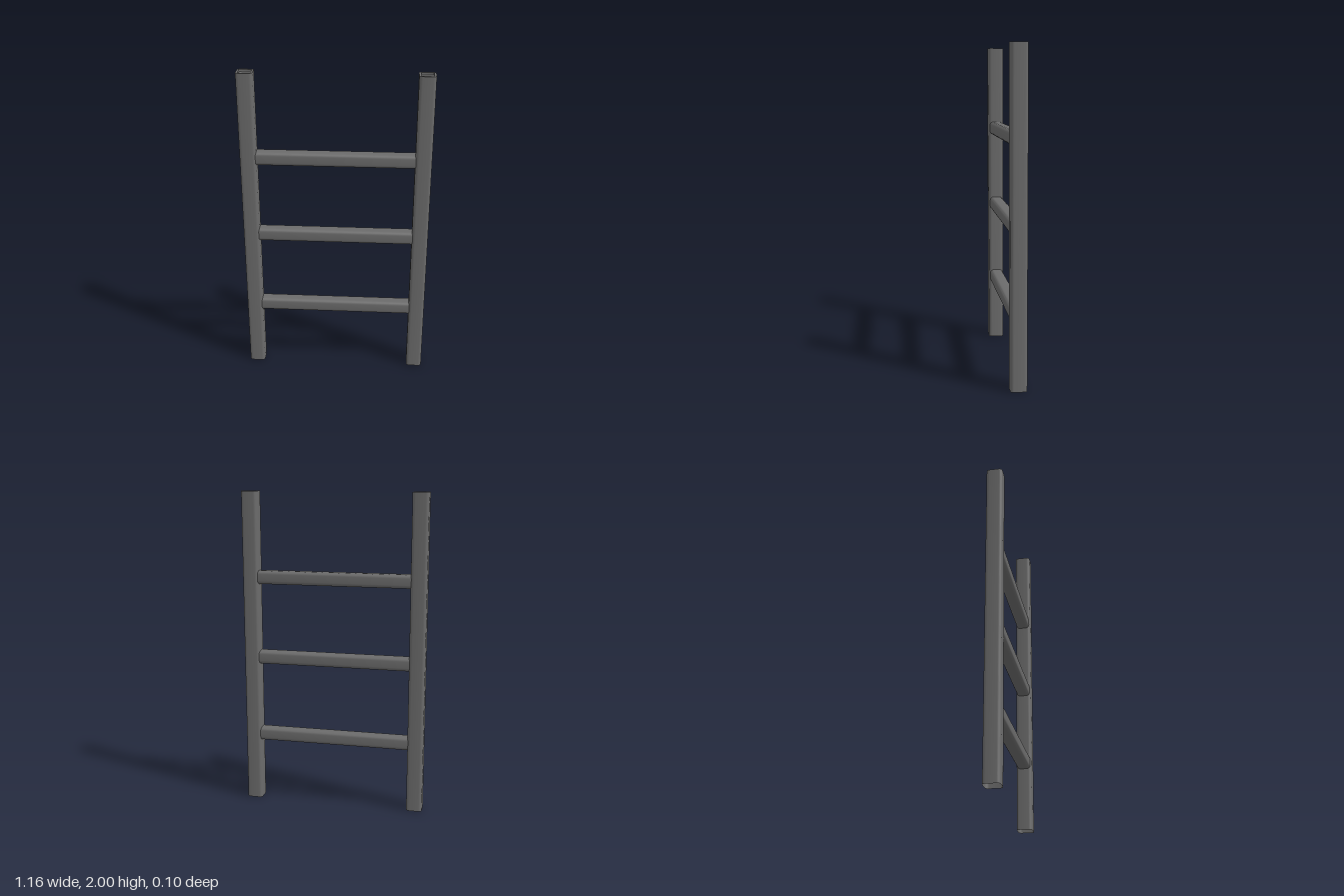
import * as THREE from 'three';
import { toCreasedNormals } from 'three/addons/utils/BufferGeometryUtils.js';

const material = new THREE.MeshStandardMaterial({ color: 0x6b6b6b, side: THREE.DoubleSide });

const ARC_STEPS = 5;

// Counter-clockwise points of a square with rounded corners
function roundedSquare(size, radius) {
  const c = size / 2 - radius;
  const points = [];
  for (let corner = 0; corner < 4; corner++) {
    const middle = (corner + 0.5) * Math.PI / 2;
    for (let i = 0; i <= ARC_STEPS; i++) {
      const a = (corner + i / ARC_STEPS) * Math.PI / 2;
      points.push(new THREE.Vector2(
        c * Math.sign(Math.cos(middle)) + radius * Math.cos(a),
        c * Math.sign(Math.sin(middle)) + radius * Math.sin(a)));
    }
  }
  return points;
}

// Open skin through rounded squares given as [size, radius, height]
function loft(sections) {
  const positions = [], index = [];
  const n = 4 * (ARC_STEPS + 1);
  sections.forEach(([size, radius, y], row) => {
    for (const p of roundedSquare(size, radius)) positions.push(p.x, y, -p.y);
    if (row === 0) return;
    for (let i = 0; i < n; i++) {
      const a = (row - 1) * n + i, b = (row - 1) * n + (i + 1) % n;
      index.push(a, b, b + n, a, b + n, a + n);
    }
  });
  const geometry = new THREE.BufferGeometry();
  geometry.setAttribute('position', new THREE.Float32BufferAttribute(positions, 3));
  geometry.setIndex(index);
  return toCreasedNormals(geometry, 0.6);
}

export function createModel() {
  const ladder = new THREE.Group();
  ladder.name = 'ladder';

  const postX = 0.53, height = 2, floor = height - 0.015;

  // Upright posts: hollow and open below, with a shallow square recess on top
  const postGeometry = loft([
    [0.1, 0.02, 0],
    [0.1, 0.02, height],
    [0.075, 0.005, height],
    [0.075, 0.005, floor],
    [0, 0, floor],
  ]);
  for (const side of [-1, 1]) {
    const post = new THREE.Mesh(postGeometry, material);
    post.name = side > 0 ? 'leftPost' : 'rightPost';
    post.position.x = side * postX;
    ladder.add(post);
  }

  // Rungs, ending just inside the post walls
  const half = 0.485;
  const rungGeometry = loft([[0.084, 0.022, -half], [0.084, 0.022, half]]);
  for (const y of [0.44, 0.953, 1.467]) {
    const rung = new THREE.Mesh(rungGeometry, material);
    rung.name = 'rung';
    rung.rotation.z = Math.PI / 2;
    rung.position.y = y;
    ladder.add(rung);
  }

  return ladder;
}
